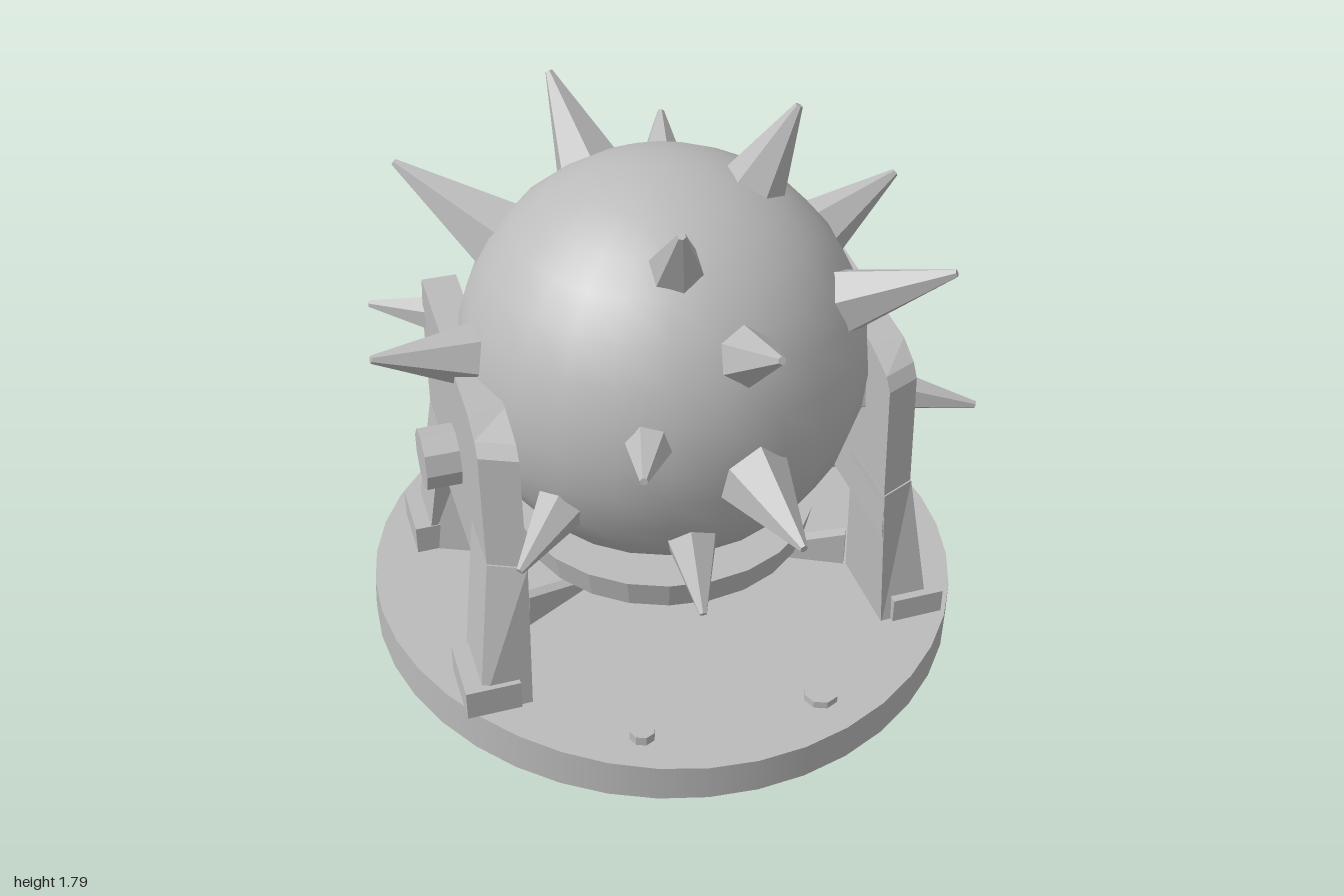
import * as THREE from 'three';

const CENTRE = new THREE.Vector3(0, 0.98, 0.03);
const UP = new THREE.Vector3(0, 1, 0);
const shapeOf = (points) => new THREE.Shape(points.map(([a, b]) => new THREE.Vector2(a, b)));

export function createModel() {
  const model = new THREE.Group();
  const metal = new THREE.MeshStandardMaterial({ color: 0xbbbbbb });

  const add = (name, geometry, x = 0, y = 0, z = 0, facet = true) => {
    // Facets come from unshared vertices, so one material serves every part
    let geo = geometry;
    if (facet) {
      geo = geometry.index ? geometry.toNonIndexed() : geometry;
      geo.computeVertexNormals();
    }
    const mesh = new THREE.Mesh(geo, metal);
    mesh.name = name;
    mesh.position.set(x, y, z);
    model.add(mesh);
    return mesh;
  };

  // Round base: leans slightly, with a dented front left rim
  const base = new THREE.CylinderGeometry(0.97, 0.97, 0.118, 40);
  const bp = base.attributes.position;
  for (let i = 0; i < bp.count; i++) {
    const x = bp.getX(i), y = bp.getY(i), z = bp.getZ(i);
    const toDent = Math.max(0, (-0.8 * x + 0.6 * z) / 0.97);
    const r = 1 - (y > 0 ? 0.045 : 0.02) * toDent ** 4;
    bp.setXYZ(i, x * r, y > 0 ? y + 0.012 * x : y, z * r * 1.028);
  }
  add('base', base, 0, 0.059, 0, false);

  // Bolt heads and rear stud on the base
  add('bolt', new THREE.CylinderGeometry(0.04, 0.04, 0.04, 8), -0.3, 0.125, 0.79);
  add('bolt', new THREE.CylinderGeometry(0.055, 0.055, 0.04, 8), 0.27, 0.125, 0.8);
  add('rearStud', new THREE.BoxGeometry(0.08, 0.03, 0.08), 0.03, 0.115, -0.95);

  // Ball and the dish under it
  add('ball', new THREE.SphereGeometry(0.643, 24, 16), 0, 0.972, CENTRE.z, false);
  const dish = [[0, 0.315], [0.39, 0.315], [0.475, 0.335], [0.495, 0.43], [0, 0.43]];
  add('lowerDish', new THREE.LatheGeometry(dish.map(([a, b]) => new THREE.Vector2(a, b)), 24),
    0, 0, 0.035);

  // Spikes: tip position and base radius
  const spikes = [
    [-0.21, 1.72, -0.47, 0.11], [-0.1, 1.66, 0.52, 0.09], [0.39, 1.78, 0.1, 0.105],
    [0.79, 1.42, -0.06, 0.105], [0.735, 1.39, 0.51, 0.11], [-0.71, 1.48, -0.48, 0.13],
    [-0.91, 1.17, 0.12, 0.105], [-0.83, 0.98, -0.49, 0.095], [0.92, 0.8, 0.38, 0.095],
    [0.78, 0.99, -0.6, 0.1], [0.1, 1.385, 0.775, 0.1], [-0.29, 1.08, 0.79, 0.08],
    [0.12, 0.87, 0.95, 0.12], [-0.6, 0.66, 0.57, 0.09], [-0.1, 0.515, 0.75, 0.095],
    [0.25, 1.37, -0.79, 0.11], [-0.41, 0.79, -0.86, 0.12], [0.35, 0.68, -0.76, 0.1],
  ];
  for (const [x, y, z, radius] of spikes) {
    const direction = new THREE.Vector3(x, y, z).sub(CENTRE);
    const length = direction.length() - 0.57;
    direction.normalize();
    const spike = add('spike', new THREE.CylinderGeometry(0.012, radius * 1.08, length, 6));
    spike.position.copy(CENTRE).addScaledVector(direction, 0.57 + length / 2);
    spike.quaternion.setFromUnitVectors(UP, direction);
  }

  // Tapered leg with its outer corners cut back
  const legGeometry = (side, front, xInner, farFoot, nearFoot, farHead, nearHead) => {
    const g = new THREE.BoxGeometry(1, 1, 1);
    const p = g.attributes.position;
    for (let i = 0; i < p.count; i++) {
      const top = p.getY(i) > 0;
      const outer = p.getX(i) * side > 0;
      const far = p.getZ(i) * front > 0;
      const x = top ? (outer ? 0.678 : 0.566) : (outer ? 0.745 : xInner);
      let z;
      if (far) z = top ? farHead - (outer ? 0.05 : 0) : farFoot;
      else z = top ? nearHead : nearFoot + (outer ? 0.08 : 0);
      p.setXYZ(i, side * x, top ? 0.62 : 0.1, front * z);
    }
    return g;
  };

  // Side plate outline, drawn as (z, y), and the brace outline
  const outline = shapeOf([[0.525, 0.46], [0.49, 0.99], [0.46, 1.03], [0.33, 1.07],
    [-0.34, 1.13], [-0.39, 1.08], [-0.43, 0.98], [-0.45, 0.46]]);
  const braceOutline = shapeOf([[0, 0], [0.46, 0], [0, 0.15]]);

  for (const side of [1, -1]) {
    // Plate, with the upright edges of its outer face cut back
    const plate = new THREE.ExtrudeGeometry(outline, { depth: 0.11, bevelEnabled: false });
    plate.rotateY(-Math.PI / 2);
    plate.translate(0.055, 0, 0);
    const pp = plate.attributes.position;
    for (let i = 0; i < pp.count; i++) {
      const z = pp.getZ(i);
      if (pp.getX(i) * side > 0 && (z > 0.4 || z < -0.38)) pp.setZ(i, z - 0.05 * Math.sign(z));
    }
    add('sidePlate', plate, side * 0.622);

    // Legs flowing out of the plate, with feet and diagonal braces
    for (const front of [1, -1]) {
      const leg = front > 0
        ? legGeometry(side, 1, 0.58, 0.55, 0.25, 0.52, 0.26)
        : legGeometry(side, -1, side > 0 ? 0.515 : 0.575, 0.47, 0.19, 0.449, 0.215);
      add('leg', leg);
      add('foot', new THREE.BoxGeometry(0.17, 0.1, 0.22), side * 0.7, 0.16, front > 0 ? 0.45 : -0.365);

      const brace = new THREE.ExtrudeGeometry(braceOutline, { depth: 0.04, bevelEnabled: false });
      brace.translate(0, 0, -0.02);
      const mesh = add('diagonalBrace', brace, side * 0.58, 0.1, front * 0.23);
      mesh.rotation.y = Math.atan2(front * 0.2, -side * 0.38);
    }

    // Axle pin
    const pin = new THREE.CylinderGeometry(0.097, 0.097, 0.25, 9);
    pin.rotateZ(Math.PI / 2);
    add('axlePin', pin, side * 0.66, 0.74, 0.065);
  }

  // Bar joining the rear legs
  add('rearBar', new THREE.BoxGeometry(1.16, 0.14, 0.1), 0, 0.18, -0.38);

  return model;
}
